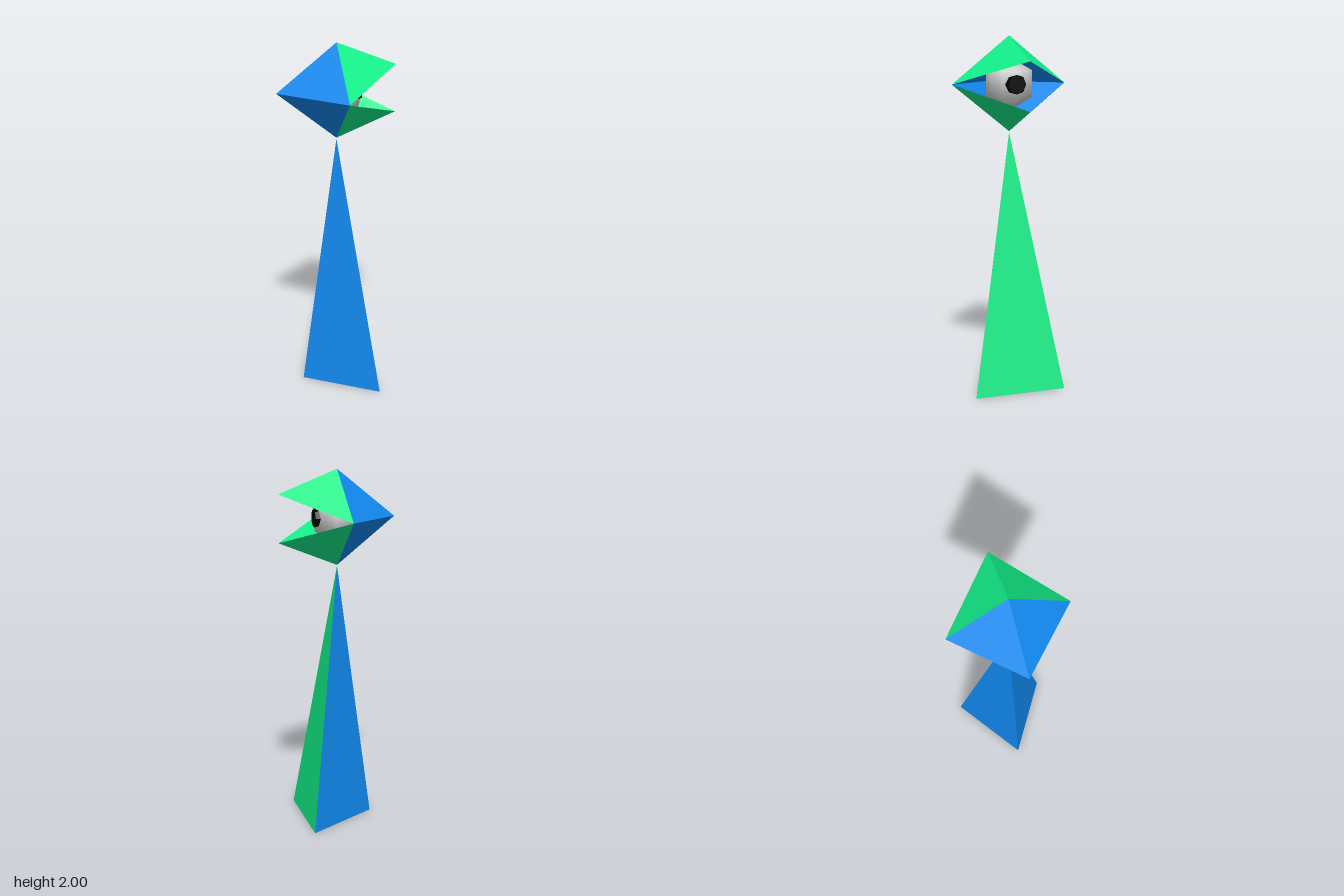
import * as THREE from 'three';

const mat = (color) => new THREE.MeshStandardMaterial({ color, flatShading: true, side: THREE.DoubleSide });

// Flat-faced mesh from triangles of corner points
function facets(name, material, triangles) {
  const geometry = new THREE.BufferGeometry();
  geometry.setAttribute('position', new THREE.Float32BufferAttribute(triangles.flat(2), 3));
  geometry.computeVertexNormals();
  const mesh = new THREE.Mesh(geometry, material);
  mesh.name = name;
  return mesh;
}

export function createModel() {
  const model = new THREE.Group();
  model.name = 'creature';
  const blue = mat(0x1188ee), green = mat(0x11ee88);
  const midY = 1.735, r = 0.332;

  // Body: a tall three-sided spike, green on its +x face
  const apex = [0, 1.465, 0], a = [0.2, 0, 0.265], b = [0.2, 0, -0.265], c = [-0.2, 0, 0];
  model.add(facets('bodyFace', green, [[a, b, apex]]));
  model.add(facets('bodySides', blue, [[b, c, apex], [c, a, apex], [a, c, b]]));

  // Head: hollow half octahedron with two open jaws
  const head = new THREE.Group();
  head.name = 'head';
  head.position.y = midY;
  const near = [0, 0, r], far = [0, 0, -r], back = [-r, 0, 0];
  const skull = [];
  for (const s of [1, -1]) {
    const pole = [0, s * 0.265, 0], tip = [r, s * 0.133, 0];
    const orient = (p, q, t) => (s > 0 ? [p, q, t] : [p, t, q]);
    skull.push(orient(back, near, pole), orient(far, back, pole));
    head.add(facets(s > 0 ? 'upperJaw' : 'lowerJaw', green,
      [orient(near, tip, pole), orient(tip, far, pole)]));
  }
  head.add(facets('skull', blue, skull));

  // Eye held between the jaws
  const eye = new THREE.Mesh(new THREE.SphereGeometry(0.148, 10, 3),
    new THREE.MeshStandardMaterial({ color: 0xcccccc }));
  eye.name = 'eye';
  const pupil = new THREE.Mesh(new THREE.CylinderGeometry(0.05, 0.068, 0.04, 8), mat(0x000000));
  pupil.name = 'pupil';
  pupil.rotation.z = -Math.PI / 2;
  pupil.position.x = 0.114;
  head.add(eye, pupil);
  model.add(head);
  return model;
}
